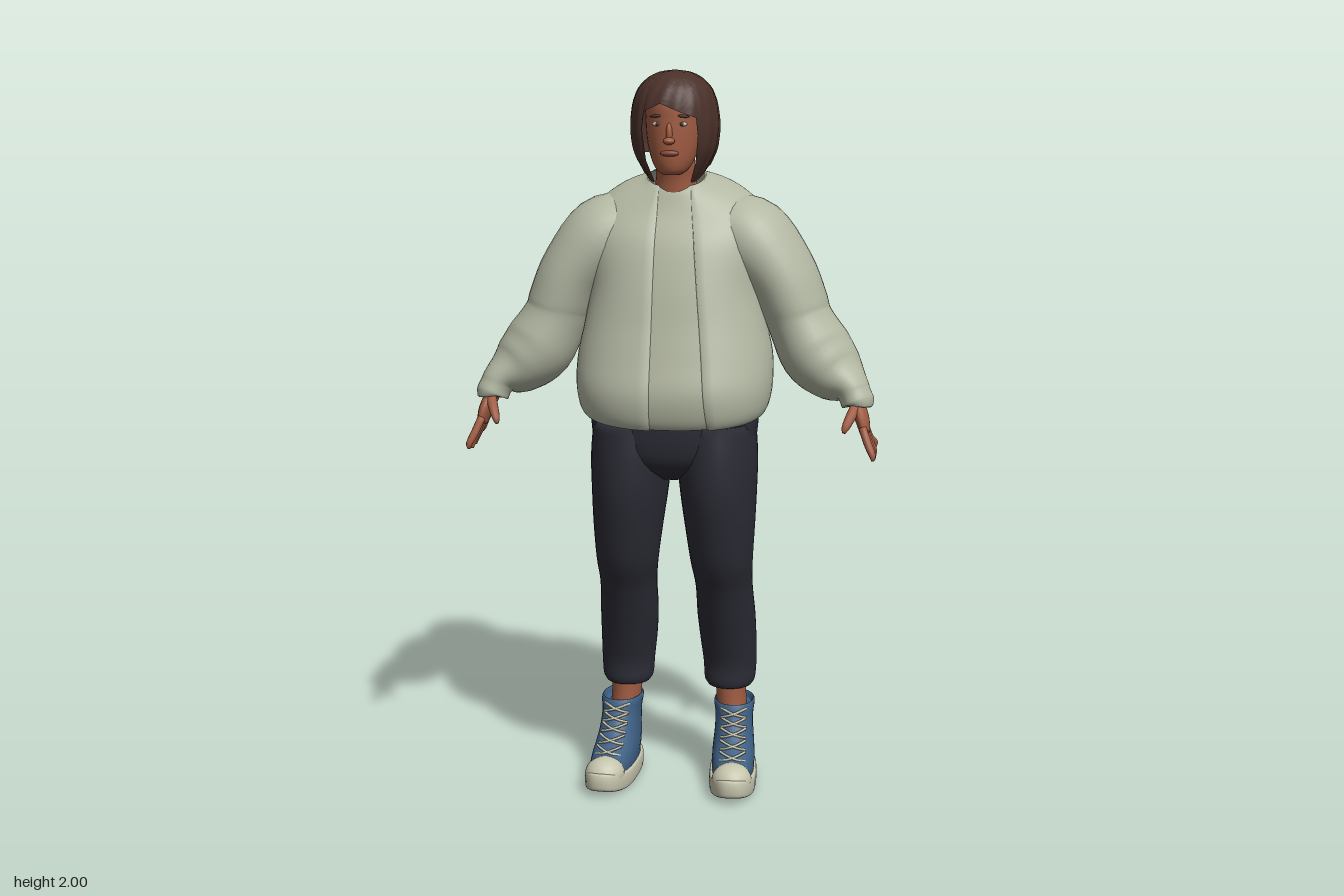
import * as THREE from 'three';

const mat = (name, color, side = THREE.FrontSide) => {
  const m = new THREE.MeshStandardMaterial({ color, side });
  m.name = name;
  return m;
};

const smooth = (a, b, x) => THREE.MathUtils.smoothstep(x, a, b);

// Smooth skin over rows of [x, y, z, radiusU, radiusV]; level rings stay horizontal.
function loft(rows, { seg = 28, steps = 4, level = false, exp = 2, cap = true, gap = null, warp = null } = {}) {
  const path = new THREE.CatmullRomCurve3(rows.map(r => new THREE.Vector3(r[0], r[1], r[2])), false, 'catmullrom', 0.5);
  const size = new THREE.CatmullRomCurve3(rows.map(r => new THREE.Vector3(r[3], r[4], 0)), false, 'catmullrom', 0.5);
  const n = (rows.length - 1) * steps;
  const pos = [], index = [];
  const cols = gap ? seg + 3 : seg;
  const ring = (t, k) => {
    const c = path.getPoint(t), s = size.getPoint(t);
    const T = level ? new THREE.Vector3(0, Math.sign(rows.at(-1)[1] - rows[0][1]), 0) : path.getTangent(t);
    const V = new THREE.Vector3(0, 0, 1).addScaledVector(T, -T.z).normalize();
    const U = new THREE.Vector3().crossVectors(T, V);
    const g = gap ? gap(c.y).map(x => Math.asin(Math.min(1, x / s.x) ** (exp / 2))) : null;
    for (let j = 0; j < cols; j++) {
      let a = j / seg * Math.PI * 2, f = k;
      if (gap) {
        // the first and last columns fold inward to give the opening a thick edge
        const u = THREE.MathUtils.clamp((j - 1) / seg, 0, 1);
        a = Math.PI / 2 + g[0] + (Math.PI * 2 - g[0] - g[1]) * u;
        if (j === 0 || j === cols - 1) f *= 0.93;
      }
      const p = e => Math.sign(e) * Math.abs(e) ** (2 / exp);
      const v = c.clone().addScaledVector(U, s.x * f * p(Math.cos(a))).addScaledVector(V, s.y * f * p(Math.sin(a)));
      if (warp) warp(v);
      pos.push(v.x, v.y, v.z);
    }
  };
  if (cap) ring(0, 0);
  for (let i = 0; i <= n; i++) ring(i / n, 1);
  if (cap) ring(1, 0);
  const rings = pos.length / 3 / cols;
  for (let i = 0; i < rings - 1; i++) for (let j = 0; j < (gap ? cols - 1 : cols); j++) {
    const a = i * cols + j, b = i * cols + (j + 1) % cols;
    index.push(a, a + cols, b, b, a + cols, b + cols);
  }
  const geo = new THREE.BufferGeometry();
  geo.setAttribute('position', new THREE.Float32BufferAttribute(pos, 3));
  geo.setIndex(index);
  geo.computeVertexNormals();
  return geo;
}

// Bob haircut: a cap whose lower edge rises over the face and the nape
function hairGeometry() {
  const profile = new THREE.CatmullRomCurve3([[0, 2], [0.38, 1.992], [0.66, 1.972], [0.86, 1.94], [0.96, 1.9], [1, 1.85],
    [0.96, 1.8], [0.84, 1.76], [0.56, 1.7]].map(p => new THREE.Vector3(p[0], p[1], 0)));
  const pts = profile.getPoints(120);
  const radius = y => (pts.find(p => p.y <= y) || pts[120]).x;
  const bottom = a => {
    const d = Math.abs(a);
    const fringe = 1.915 - 0.05 * Math.abs(Math.sin(a + 0.2));
    const side = 1.703 + 0.072 * smooth(0.95, 2.1, d);
    return THREE.MathUtils.lerp(fringe, side, smooth(0.62, 0.8, d));
  };
  const geo = new THREE.PlaneGeometry(1, 1, 120, 32);
  const P = geo.attributes.position, uv = geo.attributes.uv;
  for (let i = 0; i < P.count; i++) {
    const a = (uv.getX(i) - 0.5) * Math.PI * 2, v = 1 - uv.getY(i);
    const y = 2 - (2 - bottom(a)) * v ** 1.6;
    const strand = 1 + 0.014 * v * Math.sin(17 * a + 5 * v);
    const r = radius(y) * strand;
    P.setXYZ(i, 0.121 * r * Math.sin(a), y, 0.129 * r * Math.cos(a));
  }
  geo.computeVertexNormals();
  return geo;
}

export function createModel() {
  const model = new THREE.Group();
  const M = {
    skin: mat('skin', 0xa05c42), hair: mat('hair', 0x4a3029, THREE.DoubleSide),
    jacket: mat('jacket', 0xb3b8a3, THREE.DoubleSide), shirt: mat('shirt', 0xacb19b),
    pants: mat('pants', 0x2b2b35), shoe: mat('shoe', 0x3e6084),
    sole: mat('sole', 0xc6c5ad), eye: mat('eye white', 0xcfc6bc), lips: mat('lips', 0x85483a),
  };
  const add = (name, geo, material, parent = model) => {
    const mesh = new THREE.Mesh(geo, material);
    mesh.name = name;
    parent.add(mesh);
    return mesh;
  };
  const ball = (name, material, p, s, parent = model) => {
    const m = add(name, new THREE.SphereGeometry(1, 20, 14), material, parent);
    m.position.set(...p);
    m.scale.set(...s);
    return m;
  };

  // Head and neck
  add('head', loft([[0, 1.725, 0.06, 0.025, 0.03], [0, 1.738, 0.05, 0.043, 0.053], [0, 1.77, 0.035, 0.06, 0.076],
    [0, 1.82, 0.017, 0.073, 0.097], [0, 1.87, 0.006, 0.078, 0.108], [0, 1.92, 0, 0.08, 0.11], [0, 1.965, 0, 0.055, 0.075]],
    { level: true }), M.skin);
  add('neck', loft([[0, 1.63, -0.035, 0.07, 0.07], [0, 1.7, -0.02, 0.056, 0.06], [0, 1.74, -0.01, 0.053, 0.06],
    [0, 1.8, -0.005, 0.054, 0.065]], { level: true }), M.skin);
  ball('nose', M.skin, [0, 1.836, 0.109], [0.009, 0.03, 0.016]);
  ball('noseTip', M.skin, [0, 1.817, 0.118], [0.016, 0.01, 0.018]);
  ball('lips', M.lips, [0, 1.784, 0.107], [0.025, 0.009, 0.012]);
  for (const s of [1, -1]) {
    ball('eye', M.eye, [s * 0.033, 1.861, 0.1015], [0.014, 0.0065, 0.006]);
    ball('iris', M.hair, [s * 0.033, 1.861, 0.105], [0.0055, 0.0058, 0.004]);
    ball('eyebrow', M.hair, [s * 0.035, 1.882, 0.104], [0.019, 0.004, 0.006]).rotation.z = -s * 0.1;
  }
  add('hair', hairGeometry(), M.hair);

  // Jacket body, open at the front, over a shirt of the same cut
  const body = [[0, 1.085, 0, 0.225, 0.18], [0, 1.076, 0.003, 0.247, 0.199], [0, 1.11, 0.006, 0.264, 0.215],
    [0, 1.17, 0.003, 0.271, 0.225], [0, 1.24, -0.01, 0.267, 0.215], [0, 1.32, -0.015, 0.25, 0.195],
    [0, 1.42, -0.03, 0.235, 0.185], [0, 1.52, -0.045, 0.245, 0.168], [0, 1.58, -0.055, 0.243, 0.15],
    [0, 1.63, -0.058, 0.222, 0.13], [0, 1.67, -0.05, 0.165, 0.105], [0, 1.70, -0.035, 0.095, 0.076],
    [0, 1.71, -0.035, 0.08, 0.064]];
  // the neckline and the hem both drop towards the front
  const drape = v => {
    v.y -= (v.z + 0.03) * 0.38 * smooth(1.55, 1.7, v.y) + v.z * 0.13 * (1 - smooth(1.1, 1.3, v.y));
  };
  const opening = y => [0.043, 0.05 + 0.07 * smooth(1.72, 1.06, y) + 0.07 * THREE.MathUtils.clamp((1.7 - y) / 0.64, 0, 1)];
  add('jacketBody', loft(body, { level: true, exp: 2.25, seg: 60, cap: false, gap: opening, warp: drape }), M.jacket);
  add('shirt', loft(body.map(r => [0, r[1], r[2], r[3] * 0.955, r[4] * 0.955]),
    { level: true, exp: 2.25, seg: 48, cap: false, warp: drape }), M.shirt);

  // Trouser seat
  add('trouserSeat', loft([[0, 0.89, 0.01, 0.05, 0.07], [0, 0.925, 0.008, 0.15, 0.125], [0, 0.97, 0.005, 0.215, 0.155],
    [0, 1.05, 0.003, 0.232, 0.165], [0, 1.14, 0, 0.225, 0.165]], { level: true, exp: 2.3, seg: 40 }), M.pants);

  for (const s of [1, -1]) {
    const side = rows => rows.map(r => [s * r[0], ...r.slice(1)]);

    // Puffed sleeve with a gathered cuff
    add('sleeve', loft(side([[0.12, 1.58, -0.06, 0.09, 0.11], [0.2, 1.542, -0.06, 0.115, 0.138],
      [0.28, 1.455, -0.053, 0.1, 0.136], [0.322, 1.37, -0.05, 0.093, 0.132], [0.342, 1.318, -0.045, 0.09, 0.126],
      [0.388, 1.238, -0.03, 0.1, 0.126], [0.44, 1.186, -0.003, 0.084, 0.105], [0.483, 1.155, 0.025, 0.053, 0.07],
      [0.497, 1.135, 0.034, 0.045, 0.06], [0.507, 1.112, 0.04, 0.045, 0.059], [0.508, 1.106, 0.041, 0.034, 0.046]]),
      { seg: 32 }), M.jacket);

    // Hand
    const hand = new THREE.Group();
    hand.name = s > 0 ? 'leftHand' : 'rightHand';
    model.add(hand);
    add('palm', loft(side([[0.497, 1.14, 0.035, 0.024, 0.03], [0.51, 1.1, 0.052, 0.021, 0.036],
      [0.521, 1.07, 0.064, 0.019, 0.046], [0.53, 1.035, 0.071, 0.014, 0.045]]), { seg: 16 }), M.skin, hand);
    for (let k = 0; k < 4; k++) {
      const z = 0.105 - 0.024 * k, tip = 0.135 - 0.04 * k, low = [0.972, 0.966, 0.97, 0.985][k];
      add('finger', loft(side([[0.524, 1.055, z, 0.011, 0.012], [0.54, 1.015, (z + tip) / 2 + 0.003, 0.011, 0.011],
        [0.553, low + 0.015, tip, 0.009, 0.009], [0.554, low, tip + 0.001, 0.004, 0.004]]), { seg: 10, steps: 3 }), M.skin, hand);
    }
    add('thumb', loft(side([[0.507, 1.115, 0.065, 0.015, 0.015], [0.492, 1.085, 0.1, 0.014, 0.014],
      [0.48, 1.06, 0.122, 0.011, 0.011], [0.475, 1.045, 0.13, 0.005, 0.005]]), { seg: 10 }), M.skin, hand);

    // Trouser leg and ankle
    add('trouserLeg', loft(side([[0.115, 1.05, 0.005, 0.11, 0.155], [0.12, 0.95, 0.01, 0.112, 0.158],
      [0.124, 0.85, 0.012, 0.106, 0.153], [0.129, 0.75, 0.016, 0.097, 0.128], [0.133, 0.65, 0.01, 0.087, 0.106],
      [0.136, 0.57, -0.026, 0.08, 0.102], [0.139, 0.48, -0.058, 0.082, 0.098], [0.143, 0.4, -0.079, 0.08, 0.09],
      [0.147, 0.33, -0.087, 0.076, 0.076], [0.147, 0.28, -0.083, 0.072, 0.07], [0.147, 0.262, -0.08, 0.062, 0.062]]),
      { level: true }), M.pants);
    add('ankle', loft(side([[0.15, 0.31, -0.082, 0.045, 0.058], [0.152, 0.23, -0.08, 0.043, 0.056],
      [0.157, 0.17, -0.075, 0.043, 0.055]]), { level: true, seg: 20 }), M.skin);

    // High-top shoe
    const shoe = new THREE.Group();
    shoe.name = s > 0 ? 'leftShoe' : 'rightShoe';
    shoe.position.x = s * 0.168;
    shoe.rotation.y = s * 0.08;
    model.add(shoe);
    const spring = v => { v.y += Math.max(0, v.z - 0.07) ** 2 * 1.1; };
    add('upper', loft([[0, 0.03, 0.02, 0.058, 0.165], [0, 0.06, 0.02, 0.06, 0.163], [0, 0.085, 0, 0.06, 0.148],
      [0, 0.11, -0.025, 0.058, 0.122], [0, 0.14, -0.045, 0.055, 0.1], [0, 0.18, -0.062, 0.054, 0.086],
      [0, 0.213, -0.07, 0.058, 0.081], [0, 0.222, -0.07, 0.053, 0.074], [0, 0.205, -0.07, 0.046, 0.064]],
      { level: true, exp: 2.2 }), M.shoe, shoe);
    add('sole', loft([[0, 0, 0.03, 0.058, 0.172], [0, 0.006, 0.03, 0.065, 0.179], [0, 0.028, 0.03, 0.067, 0.181],
      [0, 0.046, 0.029, 0.065, 0.179], [0, 0.05, 0.029, 0.06, 0.174]],
      { level: true, exp: 2.5, seg: 40, warp: spring }), M.sole, shoe);
    ball('toeCap', M.sole, [0, 0.052, 0.142], [0.056, 0.046, 0.058], shoe);
    const front = [[0.1, 0.116], [0.122, 0.083], [0.147, 0.053], [0.172, 0.034], [0.196, 0.021]];
    for (const [y, z] of front) for (const d of [1, -1]) {
      const lace = new THREE.QuadraticBezierCurve3(new THREE.Vector3(-0.035 * d, y - 0.008, z - 0.012),
        new THREE.Vector3(0, y + 0.006, z + 0.02), new THREE.Vector3(0.035 * d, y + 0.014, z - 0.026));
      add('lace', new THREE.TubeGeometry(lace, 10, 0.0038, 6), M.sole, shoe);
    }
  }
  return model;
}
